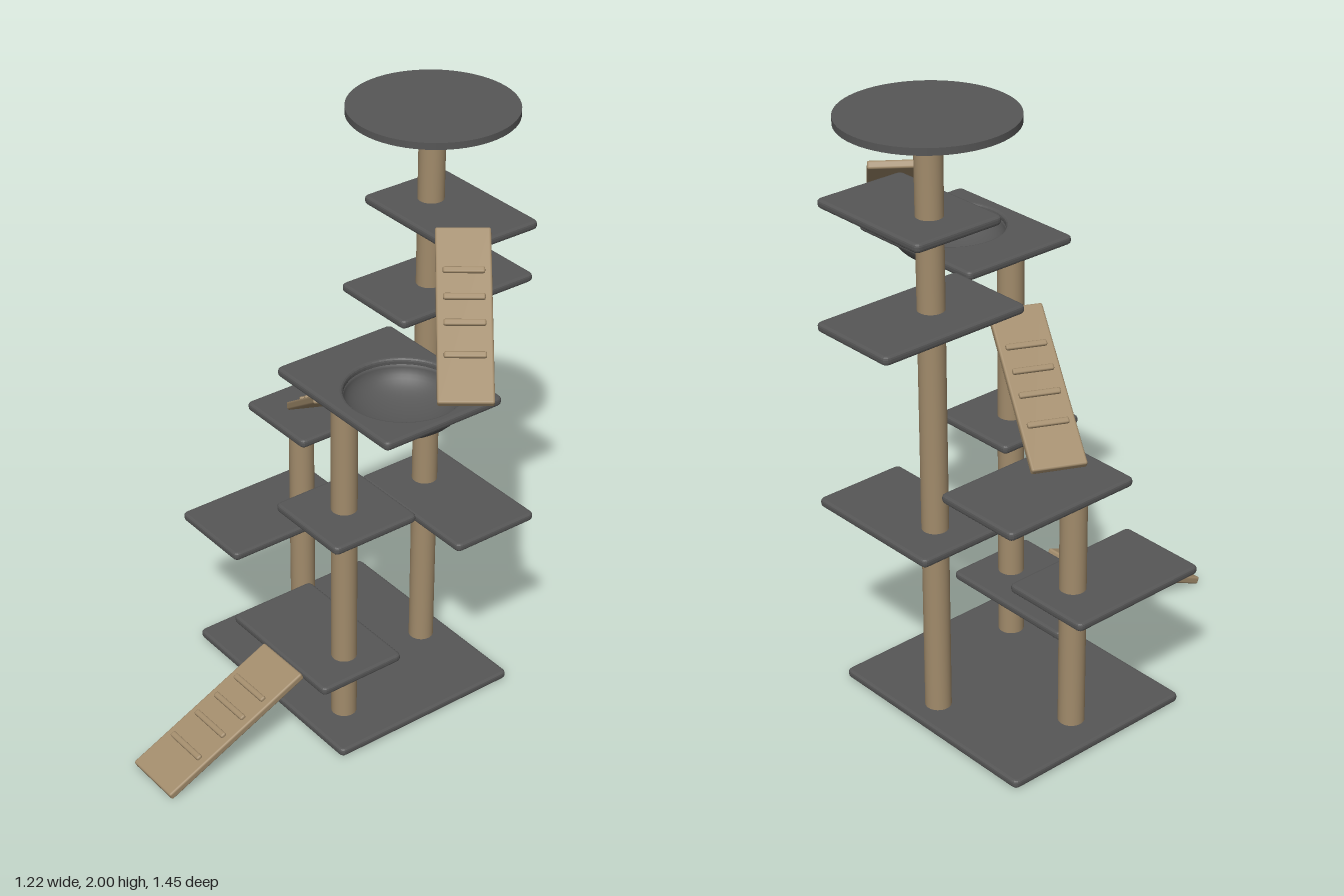
import * as THREE from 'three';
import { RoundedBoxGeometry } from 'three/addons/geometries/RoundedBoxGeometry.js';

const THICK = 0.028;

export function createModel() {
  const root = new THREE.Group();
  root.name = 'climbingTower';

  const plush = new THREE.MeshStandardMaterial({ color: 0x565656 });
  plush.name = 'grey plush';
  const sisal = new THREE.MeshStandardMaterial({ color: 0xa18b6b });
  sisal.name = 'tan sisal';

  const add = (name, geometry, material, parent = root) => {
    const mesh = new THREE.Mesh(geometry, material);
    mesh.name = name;
    parent.add(mesh);
    return mesh;
  };

  // Flat board with softened edges, optionally with a round hole [x, z, r]
  const board = (name, x0, x1, z0, z1, y, hole) => {
    const r = 0.02, bevel = 0.01, depth = THICK - 2 * bevel;
    const s = new THREE.Shape();
    s.moveTo(x0 + r, -z1);
    s.lineTo(x1 - r, -z1);
    s.quadraticCurveTo(x1, -z1, x1, -z1 + r);
    s.lineTo(x1, -z0 - r);
    s.quadraticCurveTo(x1, -z0, x1 - r, -z0);
    s.lineTo(x0 + r, -z0);
    s.quadraticCurveTo(x0, -z0, x0, -z0 - r);
    s.lineTo(x0, -z1 + r);
    s.quadraticCurveTo(x0, -z1, x0 + r, -z1);
    if (hole) {
      const h = new THREE.Path();
      h.absarc(hole[0], -hole[1], hole[2], 0, Math.PI * 2, true);
      s.holes.push(h);
    }
    const g = new THREE.ExtrudeGeometry(s, {
      depth, bevelSize: bevel, bevelThickness: bevel, bevelOffset: -bevel,
      bevelSegments: 3, curveSegments: hole ? 24 : 4,
    });
    g.translate(0, 0, -depth / 2).rotateX(-Math.PI / 2).translate(0, y, 0);
    return add(name, g, plush);
  };

  // Base and rectangular shelves
  board('base', -0.575, 0.237, -0.522, 0.172, 0.02);
  board('entryShelf', -0.325, 0.178, -0.115, 0.2, 0.245);
  board('lowRightShelf', -0.613, -0.3, -0.302, 0.2, 0.499);
  board('lowBackShelf', -0.235, 0.271, -0.577, -0.26, 0.66);
  board('midFrontShelf', -0.087, 0.23, -0.125, 0.19, 0.815);
  board('midRightShelf', -0.556, -0.245, -0.522, -0.032, 0.873);
  board('highBackShelf', -0.265, 0.05, -0.725, -0.2, 1.388);
  board('upperShelf', -0.245, 0.21, -0.588, -0.27, 1.68);

  // Posts
  const post = (name, x, z, top) => {
    const g = new THREE.CylinderGeometry(0.042, 0.042, top - 0.02, 32);
    add(name, g, sisal).position.set(x, (top + 0.02) / 2, z);
  };
  post('tallBackPost', -0.105, -0.425, 1.985);
  post('frontPost', 0.065, 0.035, 1.378);
  post('rightPost', -0.445, -0.173, 0.865);

  // Round top perch
  add('topPerch', new THREE.CylinderGeometry(0.265, 0.265, 0.022, 64), plush)
    .position.set(-0.105, 1.989, -0.425);

  // Lounge shelf with a sunken bowl
  const bx = 0.343, bz = 0.033;
  board('bowlShelf', 0.02, 0.55, -0.172, 0.254, 1.38, [bx, bz, 0.174]);
  const profile = [];
  const N = 14;
  for (let i = 0; i <= N; i++) { // outer skin, bottom to rim
    const a = (i / N) * Math.PI / 2;
    profile.push(new THREE.Vector2(0.185 * Math.sin(a), -0.1 * Math.cos(a)));
  }
  for (let i = N; i >= 0; i--) { // inner skin, rim to bottom
    const a = (i / N) * Math.PI / 2;
    profile.push(new THREE.Vector2(0.174 * Math.sin(a), -0.09 * Math.cos(a)));
  }
  add('bowl', new THREE.LatheGeometry(profile, 48), plush).position.set(bx, 1.375, bz);

  // Ramp running from its high end to its low end, with four rungs
  const ramp = (name, high, low, width) => {
    const a = new THREE.Vector3(...high), b = new THREE.Vector3(...low);
    const along = b.clone().sub(a);
    const length = along.length();
    along.normalize();
    const across = new THREE.Vector3(0, 1, 0).cross(along).normalize();
    const normal = along.clone().cross(across);
    const group = new THREE.Group();
    group.name = name;
    group.position.copy(a).add(b).multiplyScalar(0.5);
    group.quaternion.setFromRotationMatrix(
      new THREE.Matrix4().makeBasis(across, normal, along));
    add(name + 'Plank', new RoundedBoxGeometry(width, 0.026, length + 0.01, 3, 0.007), sisal, group);
    for (const t of [0.25, 0.405, 0.555, 0.74]) {
      add(name + 'Rung', new RoundedBoxGeometry(width * 0.75, 0.018, 0.02, 2, 0.006), sisal, group)
        .position.set(0, 0.014, (t - 0.5) * length);
    }
    root.add(group);
  };
  ramp('entryRamp', [-0.032, 0.25, 0.209], [-0.03, 0.016, 0.718], 0.208);
  ramp('middleRamp', [0.032, 1.212, 0.022], [-0.39, 0.907, -0.182], 0.174);
  ramp('upperRamp', [0.18, 1.734, -0.314], [0.553, 1.426, -0.028], 0.165);

  return root;
}
